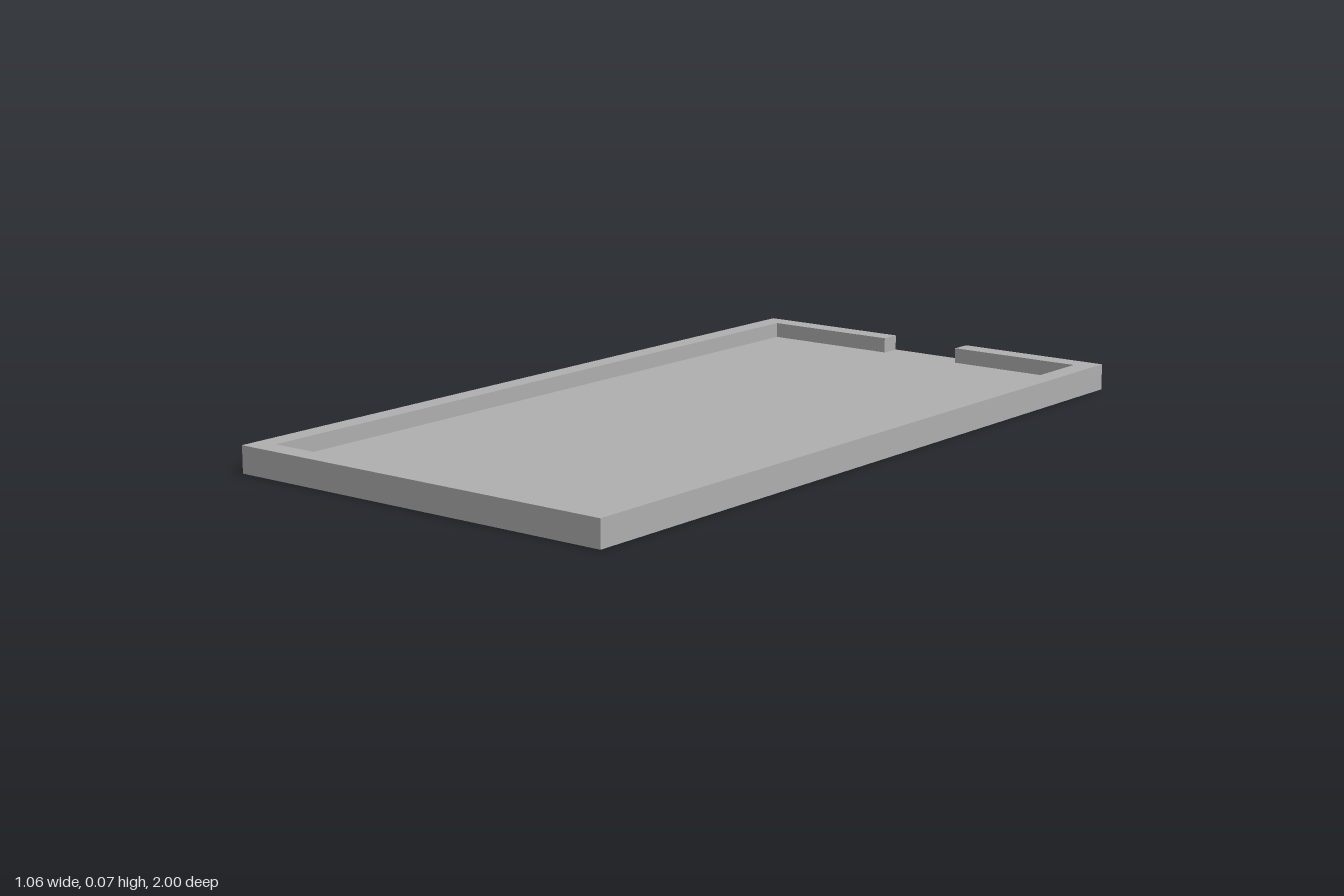
import * as THREE from 'three';

export function createModel() {
  const group = new THREE.Group();
  group.name = 'tray';
  const grey = new THREE.MeshStandardMaterial({ color: 0xb0b0b0 });
  grey.name = 'plain grey';

  const halfWidth = 0.528, halfLength = 1, height = 0.066;
  const wall = 0.053, floorHeight = 0.027, halfNotch = 0.113;
  const innerX = halfWidth - wall, innerZ = halfLength - wall;

  // Floor slab
  const floor = new THREE.Mesh(
    new THREE.BoxGeometry(2 * halfWidth, floorHeight, 2 * halfLength), grey);
  floor.name = 'floor';
  floor.position.y = floorHeight / 2;
  group.add(floor);

  // Raised rim, open at the notch in the middle of the back (plan drawn with back up)
  const half = [
    [halfNotch, innerZ], [innerX, innerZ], [innerX, -innerZ],
  ];
  const outer = [
    [halfWidth, -halfLength], [halfWidth, halfLength], [halfNotch, halfLength],
  ];
  const mirror = (points) => points.map(([x, y]) => [-x, y]).reverse();
  const outline = [...half, ...mirror(half), ...mirror(outer), ...outer];
  const shape = new THREE.Shape(outline.map(([x, y]) => new THREE.Vector2(x, y)));
  const rimGeometry = new THREE.ExtrudeGeometry(shape, {
    depth: height - floorHeight, bevelEnabled: false,
  });
  rimGeometry.rotateX(-Math.PI / 2);
  const rim = new THREE.Mesh(rimGeometry, grey);
  rim.name = 'rim';
  rim.position.y = floorHeight;
  group.add(rim);

  return group;
}
